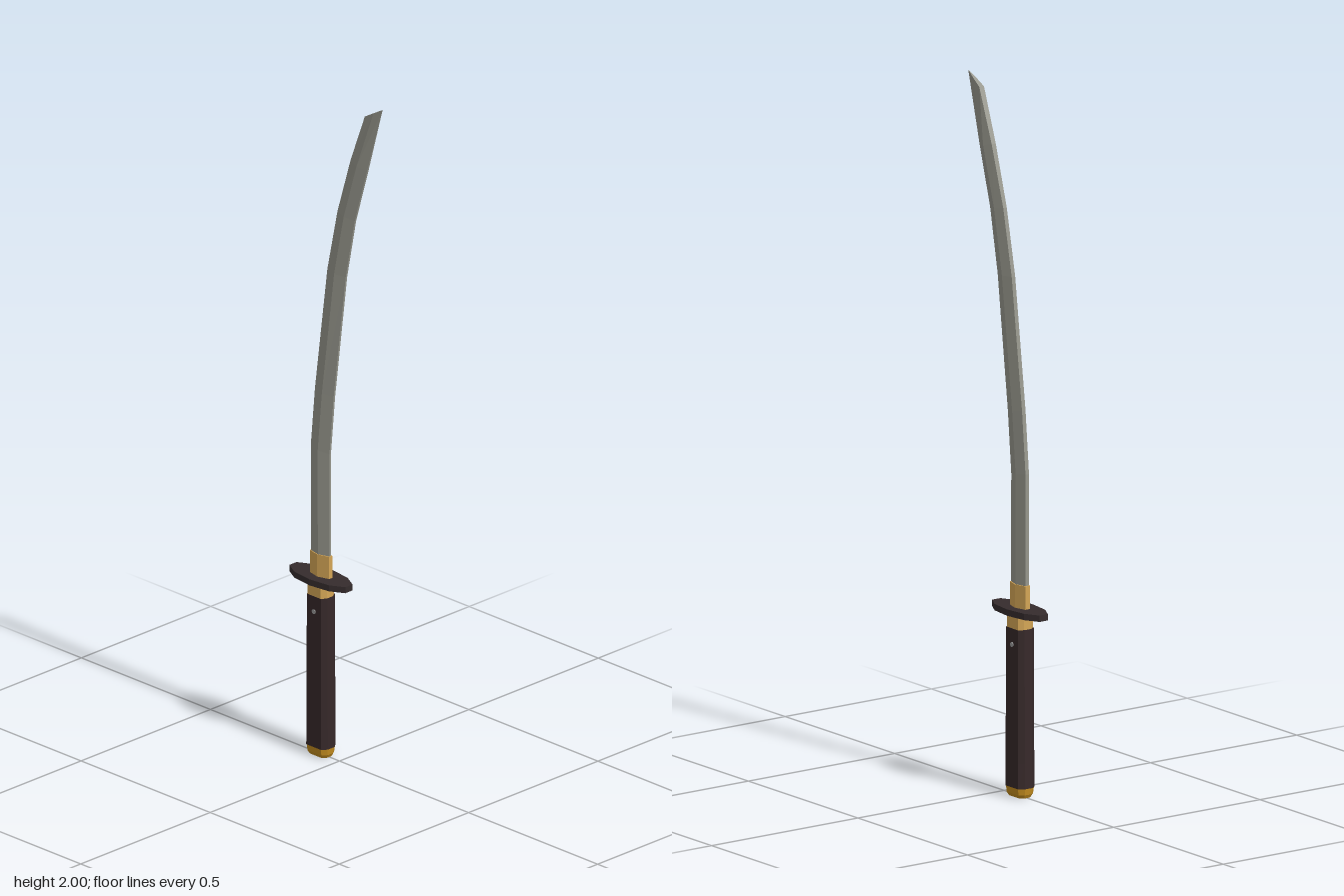
import * as THREE from 'three';

const STEEL = 0x96968c, GOLD = 0xd4a656, BRASS = 0xc08a1e, WOOD = 0x362829, IRON = 0x352c2d;
const CX = -0.072; // handle axis

// Flat-shaded skin over rings of [x, y, z] points, capped at both ends
function loft(rings) {
  const pos = [], n = rings[0].length, last = rings.length - 1;
  const tri = (...pts) => pts.forEach((p) => pos.push(...p));
  for (let i = 0; i < last; i++) {
    for (let j = 0; j < n; j++) {
      const k = (j + 1) % n, a = rings[i], b = rings[i + 1];
      tri(a[j], a[k], b[k]);
      tri(a[j], b[k], b[j]);
    }
  }
  for (let j = 1; j < n - 1; j++) {
    tri(rings[last][0], rings[last][j], rings[last][j + 1]);
    tri(rings[0][0], rings[0][j + 1], rings[0][j]);
  }
  const geo = new THREE.BufferGeometry();
  geo.setAttribute('position', new THREE.Float32BufferAttribute(pos, 3));
  geo.computeVertexNormals();
  return geo;
}

// Six-sided blade section: flat spine, mid ridge, narrow cutting edge
function bladeRing([sx, sy], [ex, ey], z, spine, ridge, edge) {
  const mx = (sx + ex) / 2, my = (sy + ey) / 2;
  return [
    [ex, ey, z + edge], [ex, ey, z - edge], [mx, my, z - ridge],
    [sx, sy, z - spine], [sx, sy, z + spine], [mx, my, z + ridge],
  ];
}

// Long octagon section for the grip and its fittings
function gripRing(y, w, d) {
  const cx = w * 0.72, cz = d * 0.45;
  return [[w, cz], [w, -cz], [cx, -d], [-cx, -d], [-w, -cz], [-w, cz], [-cx, d], [cx, d]]
    .map(([x, z]) => [CX + x, y, z]);
}

export function createModel() {
  const group = new THREE.Group();
  const add = (name, geo, color) => {
    const mesh = new THREE.Mesh(geo, new THREE.MeshStandardMaterial({ color }));
    mesh.name = name;
    group.add(mesh);
    return mesh;
  };

  // Curved blade, drifting slightly to the front near the tip
  add('blade', loft([
    bladeRing([-0.104, 0.53], [-0.036, 0.53], 0, 0.006, 0.014, 0.003),
    bladeRing([-0.104, 0.915], [-0.035, 0.905], 0.001, 0.006, 0.014, 0.003),
    bladeRing([-0.087, 1.09], [-0.018, 1.08], 0.002, 0.006, 0.014, 0.003),
    bladeRing([-0.037, 1.46], [0.031, 1.455], 0.004, 0.006, 0.014, 0.003),
    bladeRing([0.004, 1.645], [0.068, 1.635], 0.006, 0.006, 0.014, 0.003),
    bladeRing([0.057, 1.815], [0.117, 1.8], 0.007, 0.007, 0.014, 0.003),
    bladeRing([0.116, 1.964], [0.177, 2], 0.01, 0.008, 0.005, 0.0003),
  ]), STEEL);

  // Blade collar above the guard
  add('bladeCollar', loft([0.53, 0.6].map((y) =>
    bladeRing([-0.107, y], [-0.034, y], 0, 0.008, 0.0165, 0.006))), GOLD);

  // Ten-sided oval guard
  const guardRing = (y) => Array.from({ length: 10 }, (_, i) => {
    const a = (i + 0.5) * Math.PI / 5;
    return [CX + 0.114 * Math.cos(a), y, -0.045 * Math.sin(a)];
  });
  add('guard', loft([guardRing(0.516), guardRing(0.534)]), IRON);

  // Grip with its ferrule and end cap
  add('ferrule', loft([gripRing(0.475, 0.035, 0.026), gripRing(0.518, 0.035, 0.026)]), GOLD);
  add('grip', loft([
    gripRing(0.028, 0.04, 0.028), gripRing(0.1, 0.039, 0.028), gripRing(0.477, 0.038, 0.027),
  ]), WOOD);
  add('endCap', loft([
    gripRing(0, 0.032, 0.02), gripRing(0.01, 0.037, 0.025), gripRing(0.03, 0.0385, 0.0275),
  ]), BRASS);

  // Retaining pin through the grip
  const pin = add('pin', new THREE.CylinderGeometry(0.007, 0.007, 0.058, 8).rotateX(Math.PI / 2), 0x999999);
  pin.position.set(CX, 0.432, 0);

  return group;
}
